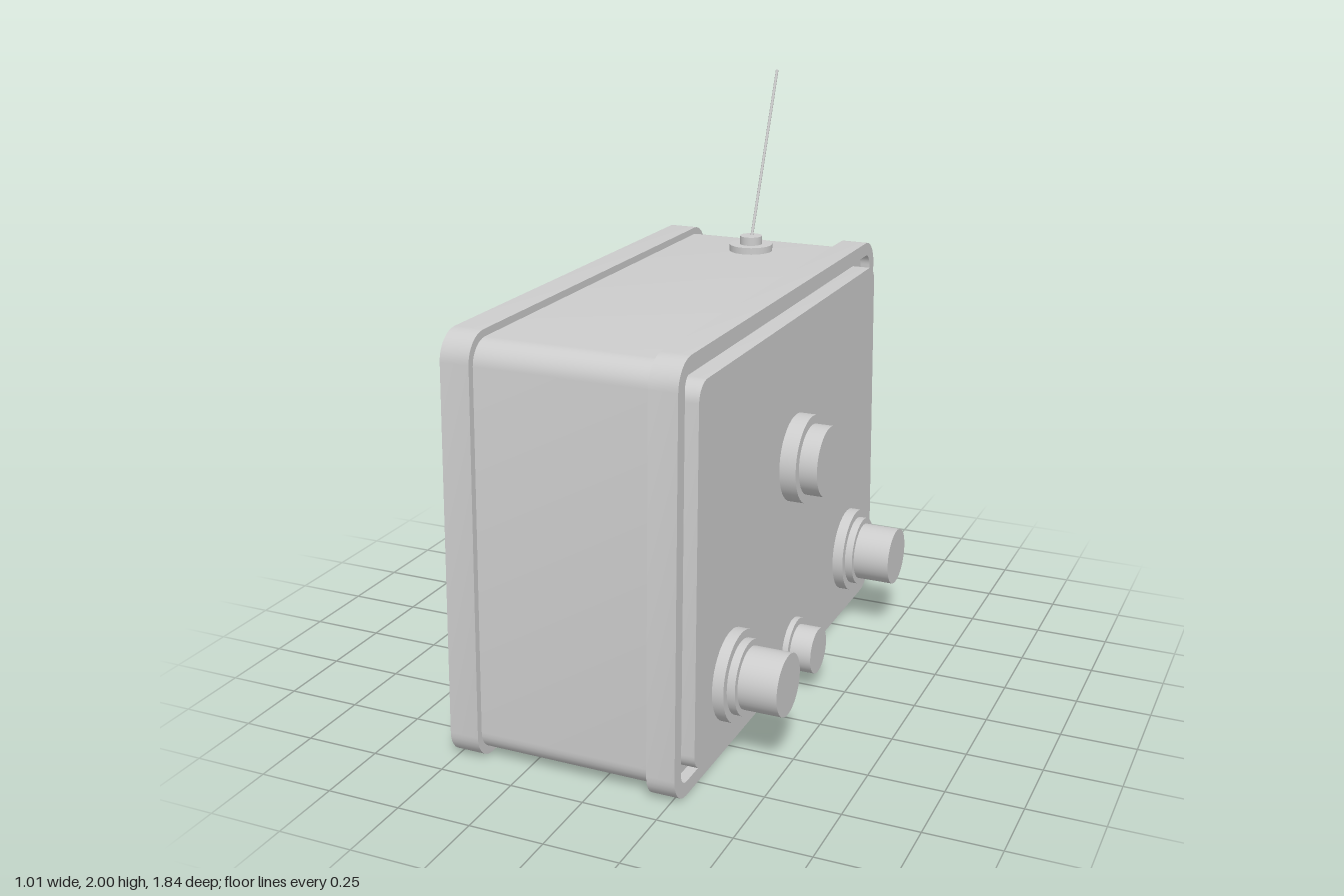
import * as THREE from 'three';
import { toCreasedNormals } from 'three/addons/utils/BufferGeometryUtils.js';

export function createModel() {
  const model = new THREE.Group();
  const grey = new THREE.MeshStandardMaterial({ color: 0xcccccc });
  grey.name = 'grey';

  const add = (name, geometry) => {
    const mesh = new THREE.Mesh(geometry, grey);
    mesh.name = name;
    model.add(mesh);
    return mesh;
  };

  // Tapered outline with rounded corners, drawn d inside the outermost edge
  const outline = (PathType, d, r) => {
    const y0 = d, y1 = 1.4 - d;
    const half = y => 0.925 - 0.036 * y - d;
    const corners = [[-half(y0), y0], [half(y0), y0], [half(y1), y1], [-half(y1), y1]]
      .map(([x, y]) => new THREE.Vector2(x, y));
    const path = new PathType();
    corners.forEach((c, i) => {
      const toward = other => c.clone().add(other.clone().sub(c).setLength(r));
      const a = toward(corners[(i + 3) % 4]);
      const b = toward(corners[(i + 1) % 4]);
      if (i === 0) path.moveTo(a.x, a.y);
      else path.lineTo(a.x, a.y);
      // Bezier handles that approximate a circular corner
      const h1 = a.clone().lerp(c, 0.55), h2 = b.clone().lerp(c, 0.55);
      path.bezierCurveTo(h1.x, h1.y, h2.x, h2.y, b.x, b.y);
    });
    path.closePath();
    return path;
  };

  // Slab of that outline running from x0 to x1
  const slab = (name, d, r, x0, x1, holeInset) => {
    const shape = outline(THREE.Shape, d, r);
    if (holeInset) shape.holes.push(outline(THREE.Path, holeInset, r - holeInset + d));
    const geometry = new THREE.ExtrudeGeometry(shape, { depth: x1 - x0, bevelEnabled: false, curveSegments: 8 });
    geometry.rotateY(Math.PI / 2).translate(x0, 0, 0);
    add(name, toCreasedNormals(geometry, 0.6));
  };

  // Cabinet body, end rims and raised face panel
  slab('cabinetBody', 0.024, 0.075, -0.475, 0.24);
  slab('backRim', 0, 0.09, -0.51, -0.41, 0.047);
  slab('faceRim', 0, 0.09, 0.18, 0.275, 0.047);
  slab('facePanel', 0.08, 0.06, 0.23, 0.305);

  // Stepped knobs: each step is [radius, start x, end x]
  const knob = (name, y, z, steps) => steps.forEach(([r, x0, x1], i) => {
    const geometry = new THREE.CylinderGeometry(r, r, x1 - x0, 40);
    geometry.rotateZ(-Math.PI / 2).translate((x0 + x1) / 2, y, z);
    add(name + (i === 0 ? 'Flange' : 'Step' + i), geometry);
  });
  for (const side of [1, -1]) {
    knob(side > 0 ? 'frontKnob' : 'rearKnob', 0.29, side * 0.556,
      [[0.15, 0.3, 0.343], [0.123, 0.34, 0.37], [0.102, 0.36, 0.5]]);
  }
  knob('centreKnob', 0.835, 0, [[0.15, 0.3, 0.362], [0.12, 0.36, 0.425]]);
  knob('lowerButton', 0.138, 0, [[0.103, 0.28, 0.325], [0.08, 0.32, 0.4]]);

  // Antenna with a two-step socket
  const ax = -0.11, az = -0.615;
  add('antennaBase', new THREE.CylinderGeometry(0.078, 0.078, 0.03, 32)).position.set(ax, 1.385, az);
  add('antennaSocket', new THREE.CylinderGeometry(0.04, 0.04, 0.04, 32)).position.set(ax, 1.41, az);
  const foot = new THREE.Vector3(ax, 1.42, -0.62), tip = new THREE.Vector3(ax, 2, -0.86);
  const rod = add('antennaRod', new THREE.CylinderGeometry(0.005, 0.005, foot.distanceTo(tip), 10));
  rod.position.copy(foot).lerp(tip, 0.5);
  rod.quaternion.setFromUnitVectors(new THREE.Vector3(0, 1, 0), tip.clone().sub(foot).normalize());

  return model;
}
